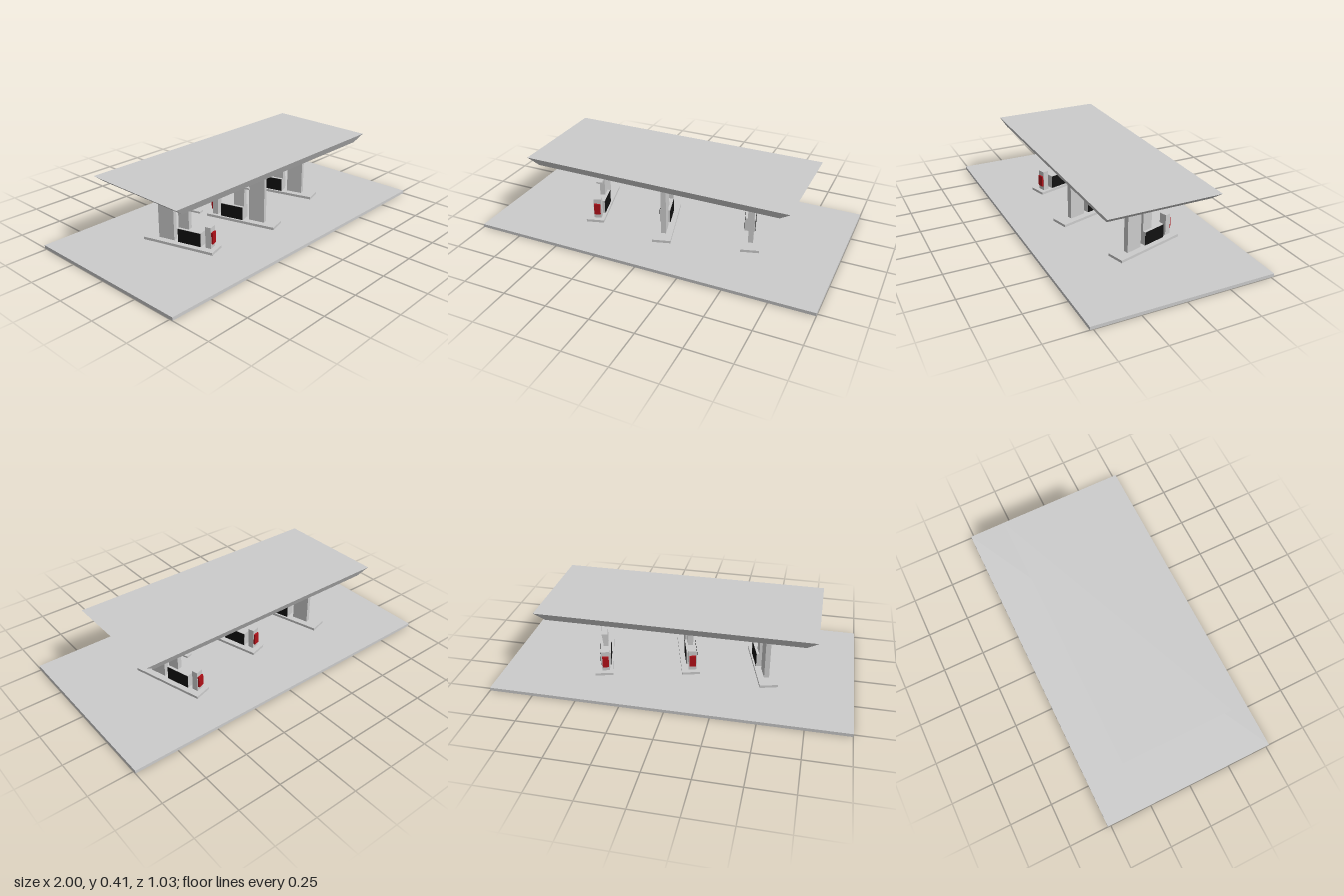
import * as THREE from 'three';

const grey = new THREE.MeshStandardMaterial({ color: 0xcccccc, flatShading: true });
const black = new THREE.MeshStandardMaterial({ color: 0x111111 });
const red = new THREE.MeshStandardMaterial({ color: 0xb01018 });

// Box given by its footprint centre, bottom and top heights
function box(name, w, d, y0, y1, x = 0, z = 0, material = grey) {
  const mesh = new THREE.Mesh(new THREE.BoxGeometry(w, y1 - y0, d), material);
  mesh.name = name;
  mesh.position.set(x, (y0 + y1) / 2, z);
  return mesh;
}

// Canopy slab whose underside is smaller than its top
function createRoof() {
  const roof = box('canopyRoof', 1.56, 0.645, 0.367, 0.413);
  const p = roof.geometry.attributes.position;
  for (let i = 0; i < p.count; i++) {
    if (p.getY(i) < 0) p.setXYZ(i, Math.sign(p.getX(i)) * 0.72, p.getY(i), Math.sign(p.getZ(i)) * 0.298);
  }
  roof.geometry.computeVertexNormals();
  return roof;
}

// One pump island with everything standing on it
function createIsland(x, z, angle) {
  const g = new THREE.Group();
  g.name = 'pumpIsland';
  const side = -0.01;
  g.add(box('islandKerb', 0.104, 0.432, 0.018, 0.033));
  g.add(box('canopyColumn', 0.029, 0.097, 0.033, 0.368, 0, 0.09));

  // Fuel pump: grey body with dark side panels
  g.add(box('pumpBody', 0.06, 0.143, 0.033, 0.114, side, -0.057));
  for (const s of [-1, 1]) {
    g.add(box('pumpSidePanel', 0.003, 0.141, 0.034, 0.112, side + s * 0.0305, -0.057, black));
  }

  // Upright and shelf above the pump
  g.add(box('pumpUpright', 0.03, 0.065, 0.114, 0.226, side, -0.016));
  g.add(box('pumpShelf', 0.034, 0.168, 0.225, 0.235, side, -0.036));

  // End cabinet with a red panel
  g.add(box('endCabinet', 0.045, 0.034, 0.033, 0.156, side, -0.17));
  g.add(box('cabinetPanel', 0.036, 0.012, 0.06, 0.127, side, -0.191, red));

  g.position.set(x, 0, z);
  g.rotation.y = angle;
  return g;
}

export function createModel() {
  const model = new THREE.Group();
  model.name = 'fuelStation';
  model.add(box('ground', 2, 1.035, 0, 0.018));
  model.add(createRoof());

  // Islands set at a slant; the one on the right is turned around
  const slant = 0.281;
  model.add(createIsland(0.4675, -0.0575, slant));
  model.add(createIsland(-0.02, 0.055, slant));
  model.add(createIsland(-0.4725, 0.015, slant + Math.PI));

  // Two rows of lamps under the canopy
  for (const z of [-0.147, 0.147]) {
    for (let i = 0; i < 6; i++) {
      model.add(box('canopyLamp', 0.046, 0.02, 0.364, 0.368, -0.64 + i * 0.256, z));
    }
  }
  return model;
}
